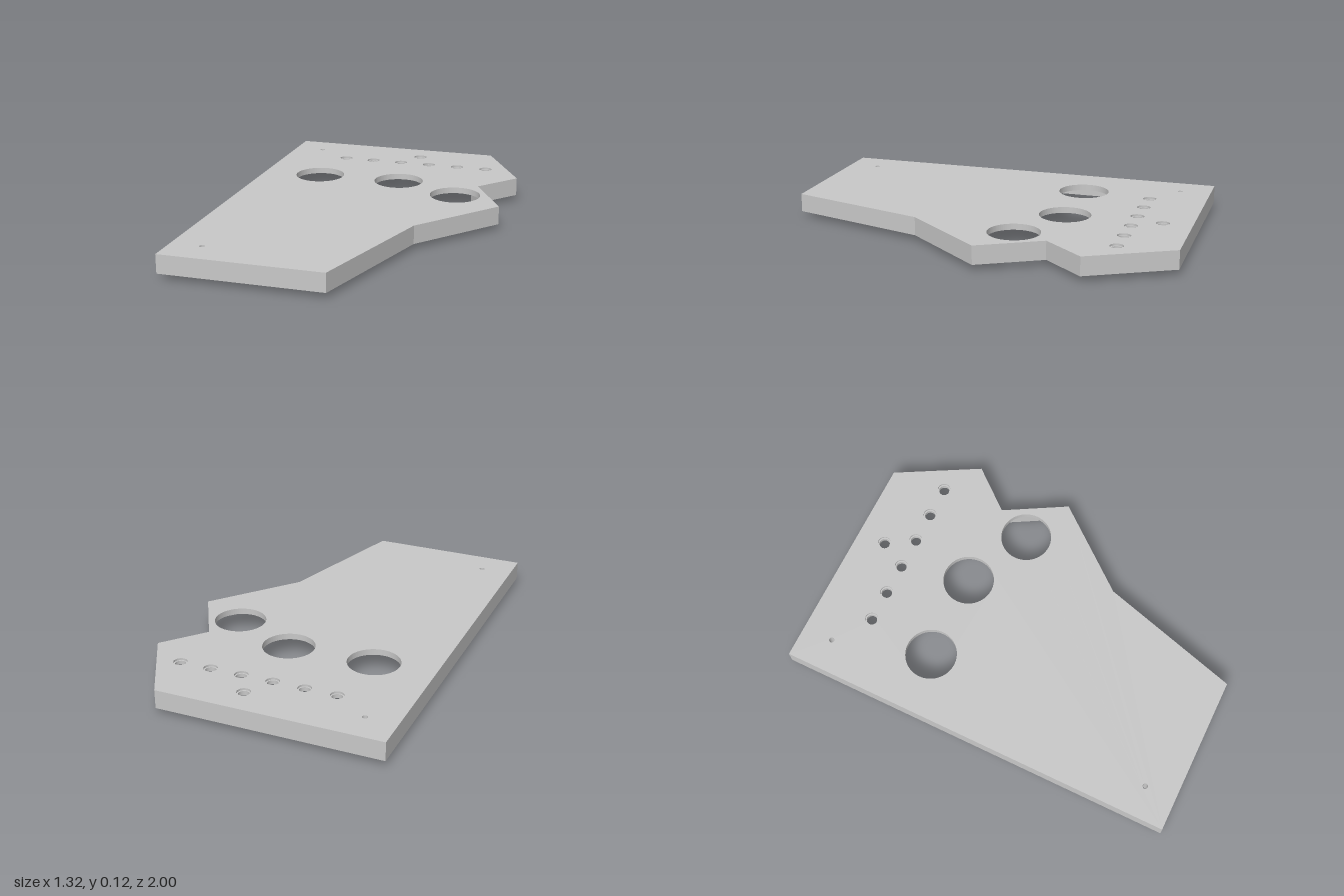
import * as THREE from 'three';

// Plan outline as [x, z], with the wall thickness of the edge that starts there
const outline = [
  [-0.66, -1, 0.05], [0.442, -1, 0.028], [0.66, -0.6, 0.028], [0.492, -0.4, 0.028],
  [0.66, -0.1, 0.028], [0.332, 0.3, 0.028], [0.13, 1, 0.05], [-0.66, 1, 0.06],
];
const largeHoles = [[-0.358, -0.37], [0.073, -0.38], [0.411, -0.222]];
const buttonHoles = [[0.07, -0.857]];
for (let i = 0; i < 6; i++) buttonHoles.push([-0.322 + i * 0.158, -0.72]);
const screwHoles = [[-0.505, -0.845], [-0.505, 0.845]];

const BOTTOM = 0.028, CEILING = 0.09, LEDGE = 0.11, TOP = 0.12;

const toPoints = list => list.map(([x, z]) => new THREE.Vector2(x, -z));

function circle(target, [x, z], r) {
  target.absarc(x, -z, r, 0, Math.PI * 2, false);
  return target;
}

// Moves every edge inwards by its own thickness and intersects neighbours
function insetOutline() {
  const pts = toPoints(outline);
  const n = pts.length;
  const lines = pts.map((p, i) => {
    const d = pts[(i + 1) % n].clone().sub(p).normalize();
    const inward = new THREE.Vector2(d.y, -d.x);
    return { p: p.clone().addScaledVector(inward, outline[i][2]), d };
  });
  return lines.map((b, i) => {
    const a = lines[(i + n - 1) % n];
    const t = b.p.clone().sub(a.p).cross(b.d) / a.d.cross(b.d);
    return a.p.clone().addScaledVector(a.d, t);
  });
}

// Extrudes a plan shape from height y0 to y1
function slab(shape, y0, y1) {
  const geometry = new THREE.ExtrudeGeometry(shape, {
    depth: y1 - y0, bevelEnabled: false, curveSegments: 40,
  });
  return geometry.rotateX(-Math.PI / 2).translate(0, y0, 0);
}

export function createModel() {
  const group = new THREE.Group();
  const grey = new THREE.MeshStandardMaterial({ color: 0xc8c8c8 });
  grey.name = 'grey plastic';
  const add = (name, geometry) => {
    const mesh = new THREE.Mesh(geometry, grey);
    mesh.name = name;
    group.add(mesh);
  };

  // Top plate in two layers, so the button holes are stepped
  const layer = buttonRadius => {
    const shape = new THREE.Shape(toPoints(outline));
    const cut = (list, r) => list.forEach(c => shape.holes.push(circle(new THREE.Path(), c, r)));
    cut(largeHoles, 0.127);
    cut(buttonHoles, buttonRadius);
    cut(screwHoles, 0.013);
    return shape;
  };
  add('topPlate', slab(layer(0.033), LEDGE, TOP));
  add('buttonLedgePlate', slab(layer(0.026), CEILING, LEDGE));

  // Side wall around the open underside; the opening winds against the outline
  const wall = new THREE.Shape(toPoints(outline));
  wall.holes.push(new THREE.Path(insetOutline().reverse()));
  add('sideWall', slab(wall, BOTTOM, CEILING));

  // Screw bosses, their wall blocks and square feet at both ends
  for (const [i, centre] of screwHoles.entries()) {
    const end = i ? 'Front' : 'Back';
    const boss = circle(new THREE.Shape(), centre, 0.055);
    boss.holes.push(circle(new THREE.Path(), centre, 0.013));
    add('screwBoss' + end, slab(boss, BOTTOM, CEILING));

    const block = new THREE.BoxGeometry(0.05, CEILING - BOTTOM, 0.1);
    block.translate(-0.575, (CEILING + BOTTOM) / 2, centre[1]);
    add('bossBlock' + end, block);

    const foot = new THREE.BoxGeometry(0.055, CEILING, 0.055);
    foot.translate(-0.372, CEILING / 2, Math.sign(centre[1]) * 0.868);
    add('foot' + end, foot);
  }
  return group;
}
